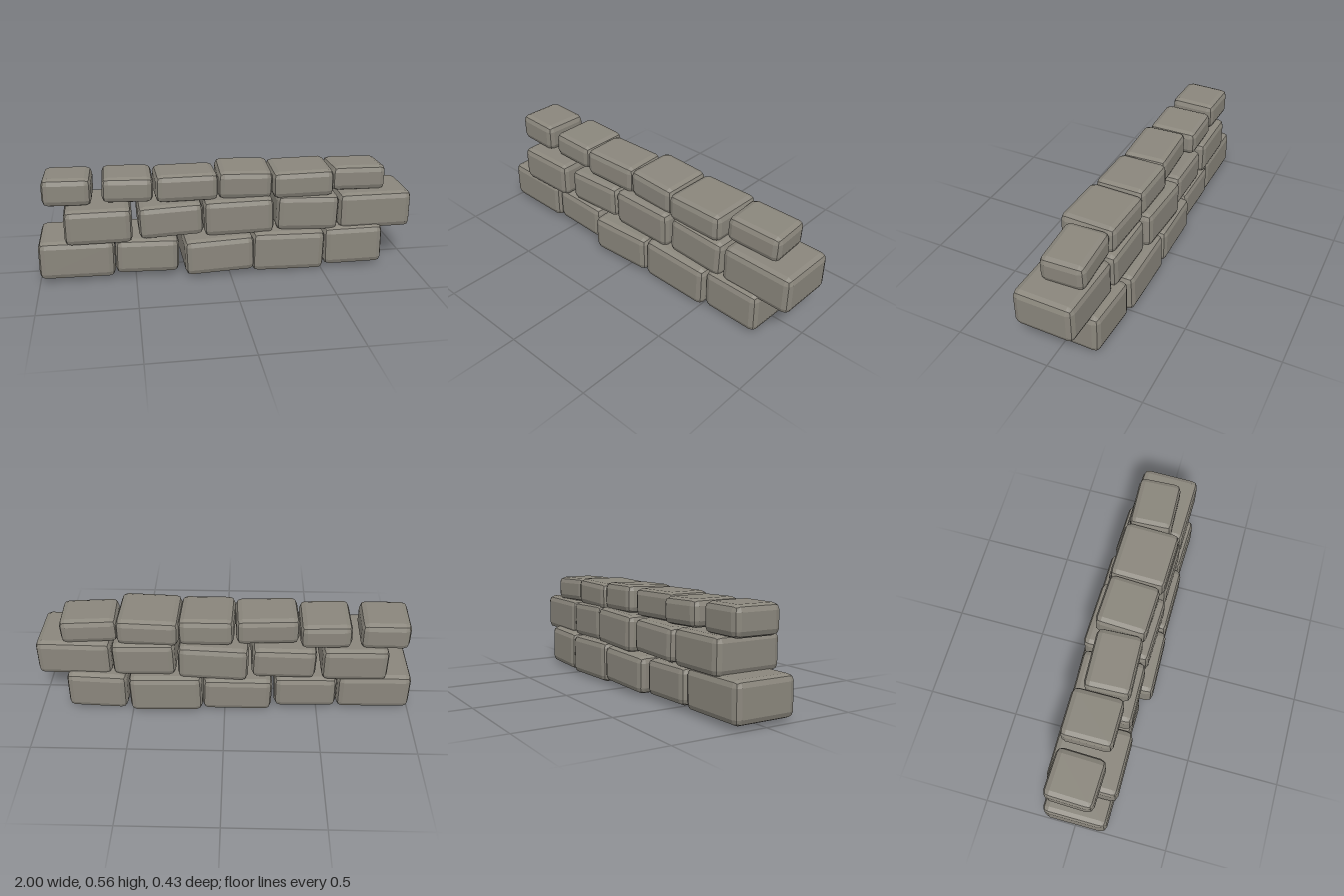
import * as THREE from 'three';
import { RoundedBoxGeometry } from 'three/addons/geometries/RoundedBoxGeometry.js';

// Each stone: [x0, x1, y0, y1, z back, z front, tilt, yaw, pitch]
const COURSES = {
  bottomCourse: [
    [-1.0, -0.605, 0.015, 0.225, -0.17, 0.17, -0.01, 0, 0],
    [-0.605, -0.265, 0.02, 0.215, -0.18, 0.165, -0.02, -0.01, 0],
    [-0.255, 0.13, 0.015, 0.22, -0.215, 0.22, 0.03, 0.03, 0],
    [0.12, 0.515, 0.0, 0.23, -0.215, 0.2, -0.02, 0, 0.01],
    [0.515, 0.85, 0.01, 0.232, -0.205, 0.19, 0.02, -0.03, 0],
  ],
  middleCourse: [
    [-0.86, -0.51, 0.21, 0.4, -0.18, 0.193, 0, 0.01, 0],
    [-0.485, -0.135, 0.213, 0.4, -0.18, 0.165, 0.035, 0.02, 0],
    [-0.135, 0.25, 0.207, 0.415, -0.2, 0.17, 0.025, -0.03, 0.01],
    [0.255, 0.6, 0.21, 0.415, -0.17, 0.165, -0.03, -0.02, 0],
    [0.6, 1.0, 0.205, 0.41, -0.158, 0.165, 0.005, -0.015, 0],
  ],
  topCourse: [
    [-0.965, -0.705, 0.395, 0.547, -0.15, 0.11, -0.01, -0.025, 0],
    [-0.66, -0.39, 0.4, 0.543, -0.16, 0.115, -0.03, 0.005, 0],
    [-0.39, -0.05, 0.395, 0.547, -0.125, 0.13, -0.01, 0.04, 0],
    [-0.055, 0.245, 0.395, 0.558, -0.155, 0.135, -0.02, -0.035, 0.03],
    [0.235, 0.57, 0.395, 0.547, -0.152, 0.155, 0.02, -0.025, 0],
    [0.56, 0.87, 0.4, 0.545, -0.142, 0.1, -0.03, 0.04, 0],
  ],
};

// Bevelled block, shrunk so that it still fits its bounds once it is turned
function makeStone([x0, x1, y0, y1, z0, z1, tilt, yaw, pitch], material) {
  const W = x1 - x0, H = y1 - y0, D = z1 - z0;
  const a = Math.abs(tilt), b = Math.abs(yaw), c = Math.abs(pitch);
  const w = W - (H * a + D * b) * 0.8;
  const h = H - (W * a + D * c) * 0.8;
  const d = D - (W * b + H * c) * 0.8;
  const stone = new THREE.Mesh(new RoundedBoxGeometry(w, h, d, 1, 0.033), material);
  stone.position.set((x0 + x1) / 2, (y0 + y1) / 2, (z0 + z1) / 2);
  stone.rotation.set(pitch, yaw, tilt);
  return stone;
}

export function createModel() {
  const stoneGrey = new THREE.MeshStandardMaterial({ color: 0x8a867c, flatShading: true });
  stoneGrey.name = 'stoneGrey';
  const wall = new THREE.Group();
  wall.name = 'stoneWall';
  for (const [name, stones] of Object.entries(COURSES)) {
    const course = new THREE.Group();
    course.name = name;
    stones.forEach((spec, i) => {
      const stone = makeStone(spec, stoneGrey);
      stone.name = `${name}Stone${i + 1}`;
      course.add(stone);
    });
    wall.add(course);
  }
  return wall;
}
